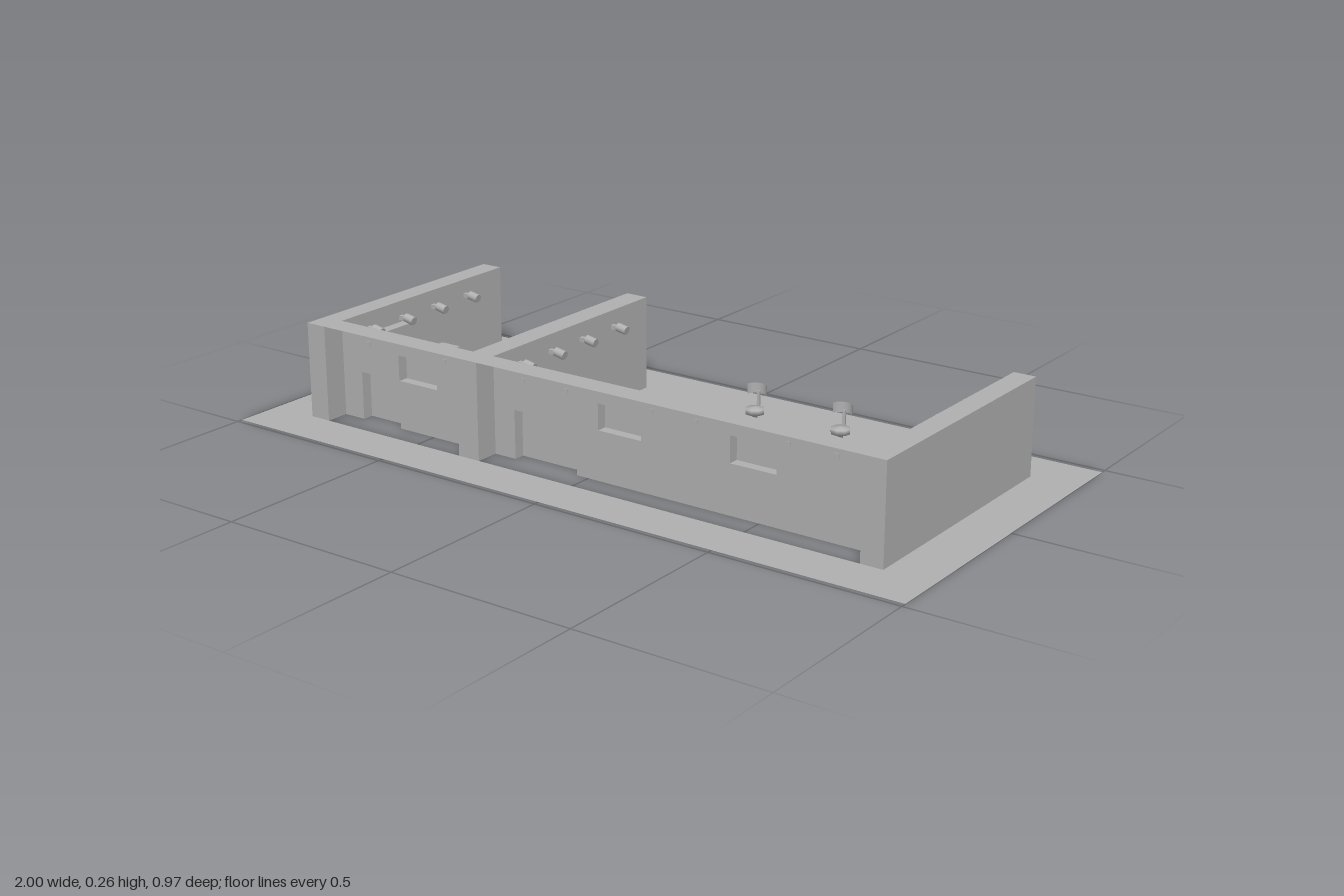
import * as THREE from 'three';

const grey = new THREE.MeshStandardMaterial({ color: 0xb0b0b0, side: THREE.DoubleSide });
grey.name = 'plainGrey';

const H = 0.258;        // wall height
const LOW = 0.13;       // cabinet height
const HIGH = 0.2;       // top of display boxes
const FACE = 0.26;      // front of the fittings on the front wall
const IN = 0.29;        // inner face of the front wall
const OUT = 0.355;      // outer edge of the walls

const cabinets = [[-0.745, -0.615], [-0.23, -0.035]];
const displays = [[-0.615, -0.485], [0.03, 0.16], [0.415, 0.545]];

export function createModel() {
  const model = new THREE.Group();
  model.name = 'galleryRoom';

  const add = (name, geo, parent = model) => {
    const mesh = new THREE.Mesh(geo, grey);
    mesh.name = name;
    parent.add(mesh);
    return mesh;
  };

  // Box between two corners; open lists omitted sides (0 +x, 1 -x, 2 +y, 3 -y, 4 +z, 5 -z)
  const box = (name, x0, x1, y0, y1, z0, z1, open = [], parent = model) => {
    const geo = new THREE.BoxGeometry(x1 - x0, y1 - y0, z1 - z0);
    const index = Array.from(geo.index.array);
    geo.setIndex(index.filter((v, i) => !open.includes(Math.floor(i / 6))));
    geo.clearGroups();
    geo.translate((x0 + x1) / 2, (y0 + y1) / 2, (z0 + z1) / 2);
    return add(name, geo, parent);
  };

  const path = (pts) => pts.map(([x, y]) => new THREE.Vector2(x, y));
  const rect = (x0, x1, y0, y1) => new THREE.Path(path([[x0, y0], [x1, y0], [x1, y1], [x0, y1]]));

  // Floor sheet, cut away beneath the hollow walls and furniture (shape y is -z)
  const floor = new THREE.Shape(path([[-1, -0.485], [1, -0.485], [1, 0.485], [-1, 0.485]]));
  const footprint = [[-0.87, OUT], [-0.87, -OUT], [-0.81, -OUT],
    [-0.81, -0.1], [-0.745, -0.1], [-0.745, -0.035], [-0.81, -0.035], [-0.81, IN],
    [-0.745, IN], [-0.745, FACE], [-0.615, FACE], [-0.615, IN],
    [-0.36, IN], [-0.36, -0.035], [-0.39, -0.035], [-0.39, -0.16], [-0.36, -0.16],
    [-0.36, -OUT], [-0.295, -OUT], [-0.295, IN],
    [-0.23, IN], [-0.23, FACE], [-0.035, FACE], [-0.035, IN],
    [0.81, IN], [0.81, -0.035], [0.775, -0.035], [0.775, -0.16], [0.81, -0.16],
    [0.81, -OUT], [0.87, -OUT], [0.87, OUT]];
  floor.holes.push(new THREE.Path(path(footprint.map(([x, z]) => [x, -z]))));
  floor.holes.push(rect(0.1, 0.41, -0.215, -0.165), rect(-0.66, -0.505, -0.02, 0.02));
  for (const cx of [0, 0.515]) floor.holes.push(rect(cx - 0.1, cx + 0.1, -0.028, 0.028));
  add('floor', new THREE.ShapeGeometry(floor).rotateX(-Math.PI / 2));

  // Hollow partition walls
  box('leftEndWall', 0.81, 0.87, 0, H, -OUT, OUT, [3]);
  box('middleWall', -0.36, -0.295, 0, H, -OUT, OUT, [3]);
  box('rightEndWall', -0.87, -0.81, 0, H, -OUT, OUT, [3]);

  // Front wall sheets with notches behind cabinets and openings behind displays
  for (const [x0, x1] of [[-0.81, -0.36], [-0.295, 0.81]]) {
    const pts = [[x0, 0]];
    for (const [a, b] of cabinets) {
      if (a > x0 && b < x1) pts.push([a, 0], [a, LOW], [b, LOW], [b, 0]);
    }
    pts.push([x1, 0], [x1, H], [x0, H]);
    const wall = new THREE.Shape(path(pts));
    for (const [a, b] of displays) {
      if (a > x0 && b < x1) wall.holes.push(rect(a + 0.001, b, LOW + 0.001, HIGH));
    }
    add('frontWall', new THREE.ShapeGeometry(wall).translate(0, 0, IN));
    const cap = new THREE.PlaneGeometry(x1 - x0, OUT - IN).rotateX(-Math.PI / 2);
    add('frontWallTop', cap.translate((x0 + x1) / 2, H, (IN + OUT) / 2));
  }

  // Cabinets and display boxes
  for (const [a, b] of cabinets) box('frontCabinet', a, b, 0, LOW, FACE, IN, [3, 4]);
  for (const [a, b] of displays) box('frontDisplay', a, b, LOW, HIGH, FACE, IN, [4]);
  box('leftWallCabinet', 0.775, 0.81, 0, LOW, -0.16, -0.035, [0, 3]);
  box('leftWallDisplay', 0.775, 0.81, LOW, HIGH, 0.095, 0.22, [0]);
  box('middleWallCabinet', -0.39, -0.36, 0, LOW, -0.16, -0.035, [0, 3]);
  box('rightWallStand', -0.81, -0.745, 0, 0.1, -0.1, -0.035, [1, 3]);
  box('rightWallDisplay', -0.81, -0.78, LOW, HIGH, 0.03, 0.155, [1]);

  // Spotlights: bracket plus a short tilted barrel pointing into the room
  const spotlight = (x, z, turn) => {
    const lamp = new THREE.Group();
    lamp.name = 'spotlight';
    box('lampBracket', -0.006, 0.006, -0.006, 0.006, -0.002, 0.025, [], lamp);
    const barrel = add('lampBarrel', new THREE.CylinderGeometry(0.012, 0.012, 0.03, 10), lamp);
    barrel.rotation.x = Math.PI / 2 + 0.2;
    barrel.position.z = 0.034;
    lamp.position.set(x, 0.213, z);
    lamp.rotation.y = turn;
    model.add(lamp);
  };
  for (const z of [-0.2, -0.065, 0.065, 0.19]) {
    spotlight(-0.81, z, Math.PI / 2);
    spotlight(-0.295, z, Math.PI / 2);
    spotlight(-0.36, z, -Math.PI / 2);
    spotlight(0.81, z, -Math.PI / 2);
  }
  for (const x of [-0.715, -0.457, -0.2, -0.067, 0.19, 0.32, 0.575, 0.705]) spotlight(x, IN, Math.PI);

  // Two long tables, each with three chairs along the front
  for (const cx of [-0.005, 0.515]) {
    const table = new THREE.Group();
    table.name = 'table';
    box('tableTop', -0.16, 0.16, 0.042, 0.058, -0.1, 0.03, [], table);
    box('tablePedestal', -0.095, 0.105, 0, 0.042, -0.028, 0.028, [3], table);
    for (const x of [-0.15, 0.15]) {
      for (const z of [-0.09, 0.02]) box('tableLeg', x - 0.01, x + 0.01, 0, 0.042, z - 0.01, z + 0.01, [], table);
    }
    for (const x of [-0.128, 0, 0.128]) {
      box('chairSeat', x - 0.032, x + 0.032, 0.03, 0.04, 0.03, 0.085, [], table);
      box('chairBack', x - 0.032, x + 0.032, 0.03, 0.11, 0.08, 0.09, [], table);
      for (const s of [-0.028, 0.028]) {
        for (const z of [0.035, 0.085]) box('chairLeg', x + s - 0.004, x + s + 0.004, 0, 0.03, z - 0.004, z + 0.004, [], table);
      }
    }
    table.position.x = cx;
    model.add(table);
  }

  // Counter by the front wall
  box('counterTop', 0.09, 0.42, 0.05, 0.06, 0.16, 0.22);
  box('counterBase', 0.1, 0.41, 0, 0.05, 0.165, 0.215, [3]);

  // Low bench in the small room, with two raised pads
  box('benchBody', -0.68, -0.485, 0, 0.045, -0.03, 0.026, [3]);
  for (const x of [-0.648, -0.517]) box('benchPad', x - 0.027, x + 0.027, 0.045, 0.055, -0.022, 0.018);

  // Swivel chairs: flared base, seat, stem and a curved back
  const swivelChair = (x, z, turn) => {
    const chair = new THREE.Group();
    chair.name = 'swivelChair';
    const profile = path([[0.018, 0], [0.022, 0.012], [0.008, 0.016], [0.008, 0.03], [0.026, 0.036], [0.026, 0.05], [0, 0.054]]);
    add('seatAndBase', new THREE.LatheGeometry(profile, 8), chair);
    box('backStem', -0.004, 0.004, 0.05, 0.09, -0.028, -0.022, [], chair);
    const back = new THREE.CylinderGeometry(0.03, 0.03, 0.028, 8, 1, true, Math.PI * 0.65, Math.PI * 0.7);
    add('chairBackrest', back.translate(0, 0.096, 0), chair);
    chair.position.set(x, 0, z);
    chair.rotation.y = turn;
    model.add(chair);
  };
  swivelChair(0.12, -0.265, 0.2);
  swivelChair(0.38, -0.265, 0.2);
  swivelChair(0.06, 0.185, 0.2);
  swivelChair(0.44, 0.185, 0.2);

  return model;
}
